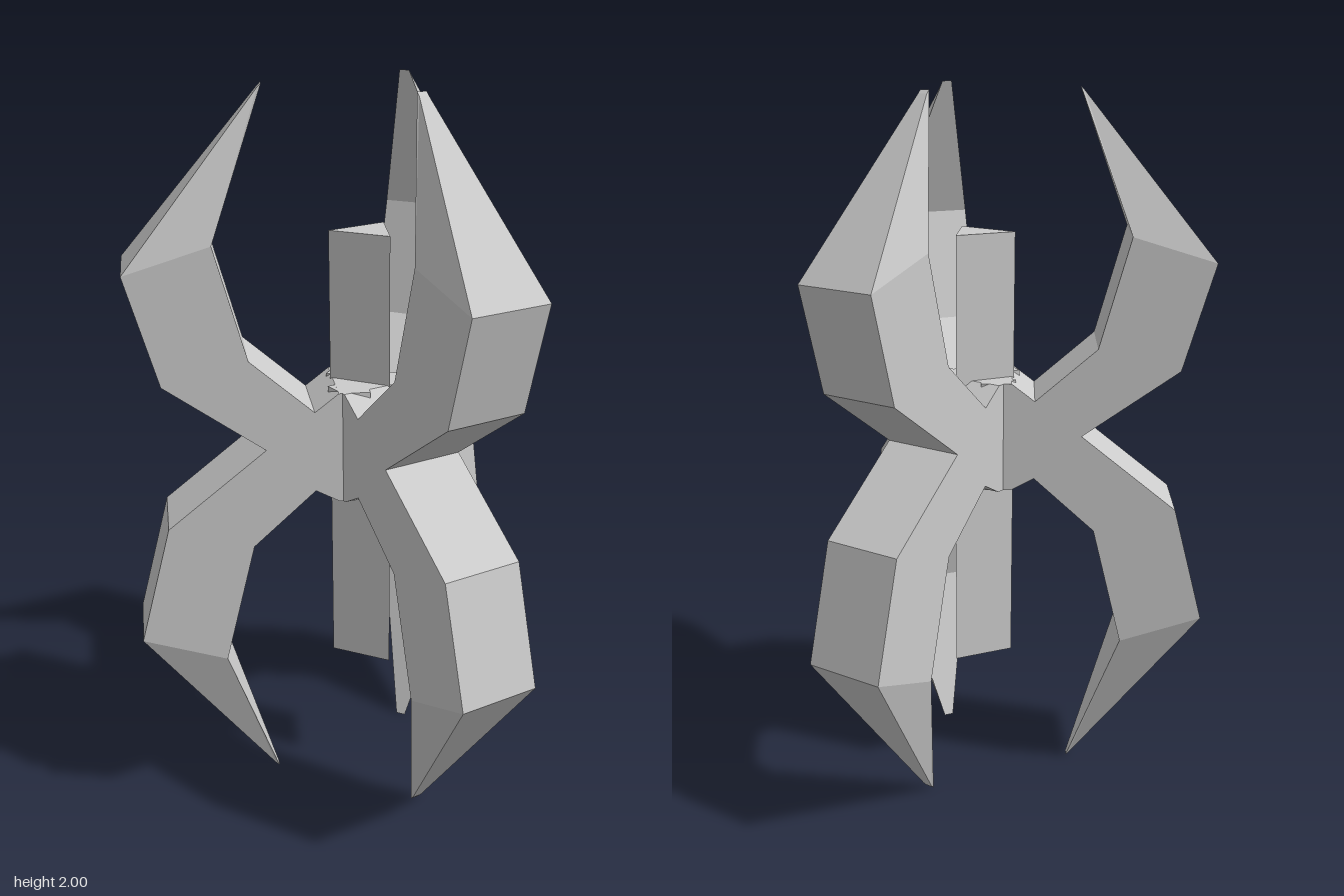
import * as THREE from 'three';

const material = new THREE.MeshStandardMaterial({ color: 0xcccccc, flatShading: true });
const HALF = 0.117; // half the thickness of an arm
const AXIS_Z = 0.087; // where the three arms meet

// Extrude a (radius, height) profile sideways, centred on its own plane.
function slab(points) {
  const shape = new THREE.Shape(points.map(([r, y]) => new THREE.Vector2(r, y)));
  const geometry = new THREE.ExtrudeGeometry(shape, { depth: HALF * 2, bevelEnabled: false });
  return geometry.translate(0, 0, -HALF);
}

// Claw: a slab whose sides pinch together at the point.
function claw(points, isTip) {
  const geometry = slab(points);
  const p = geometry.attributes.position;
  for (let i = 0; i < p.count; i++) {
    if (isTip(p.getY(i))) p.setZ(i, p.getZ(i) * 0.12);
  }
  geometry.computeVertexNormals();
  return geometry;
}

function add(parent, geometry, name) {
  const mesh = new THREE.Mesh(geometry, material);
  mesh.name = name;
  parent.add(mesh);
}

export function createModel() {
  const model = new THREE.Group();
  model.name = 'clawedOrnament';

  // Forked arm, from the hub out to both elbows
  const fork = slab([
    [0, 0.89], [0.085, 0.89], [0.15, 0.925], [0.322, 0.77], [0.407, 0.43],
    [0.638, 0.505], [0.552, 0.835], [0.282, 1.05], [0.552, 1.24], [0.638, 1.54],
    [0.407, 1.61], [0.322, 1.3], [0.15, 1.15], [0.085, 1.2], [0, 1.2],
  ]);
  const upperClaw = claw([[0.407, 1.61], [0.638, 1.54], [0.272, 1.99], [0.262, 2]], (y) => y > 1.9);
  const lowerClaw = claw([[0.407, 0.43], [0.262, 0], [0.272, 0.01], [0.638, 0.505]], (y) => y < 0.1);

  // Three arms around the axis
  const arms = { leftArm: 32, rightArm: 146.5, backArm: -90 };
  for (const [name, degrees] of Object.entries(arms)) {
    const arm = new THREE.Group();
    arm.name = name;
    arm.position.z = AXIS_Z;
    arm.rotation.y = -THREE.MathUtils.degToRad(degrees);
    add(arm, fork, 'fork');
    add(arm, upperClaw, 'upperClaw');
    add(arm, lowerClaw, 'lowerClaw');
    model.add(arm);
  }

  // Triangular shaft through the hub, flat side to the front
  const triangle = new THREE.Shape([
    new THREE.Vector2(-0.09, -0.115),
    new THREE.Vector2(0.09, -0.115),
    new THREE.Vector2(0, 0.04),
  ]);
  const shaft = new THREE.ExtrudeGeometry(triangle, { depth: 1.25, bevelEnabled: false });
  shaft.rotateX(-Math.PI / 2).translate(0, 0.36, 0);
  add(model, shaft, 'shaft');

  return model;
}
